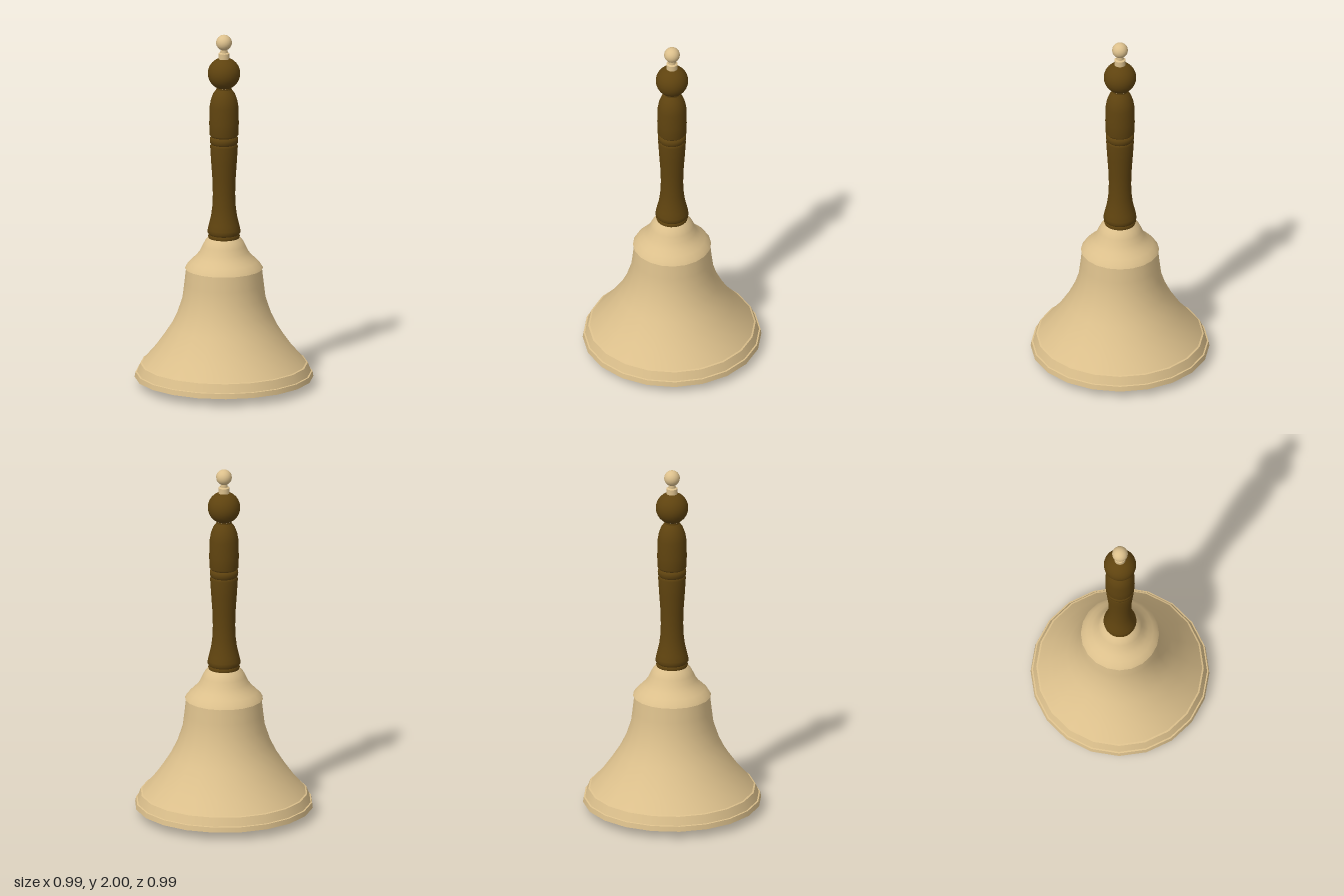
import * as THREE from 'three';
import { mergeGeometries } from 'three/addons/utils/BufferGeometryUtils.js';

const material = (name, color) => {
  const m = new THREE.MeshStandardMaterial({ color });
  m.name = name;
  return m;
};

// Turns several profile runs [radius, y] about the axis; edges between runs stay sharp.
function turned(name, mat, sides, runs) {
  const parts = runs.map((run) =>
    new THREE.LatheGeometry(run.map(([r, y]) => new THREE.Vector2(r, y)), sides));
  const mesh = new THREE.Mesh(mergeGeometries(parts), mat);
  mesh.name = name;
  return mesh;
}

// Arc profile of a ball from angle a to b (degrees from the bottom pole)
function arc(radius, y, a, b, steps = 12) {
  return Array.from({ length: steps + 1 }, (_, i) => {
    const t = THREE.MathUtils.degToRad(a + (b - a) * i / steps);
    return [Math.max(0, radius * Math.sin(t)), y - radius * Math.cos(t)];
  });
}

export function createModel() {
  const brass = material('brass', 0xdcc08c);
  const wood = material('dark wood', 0x5f430f);
  const iron = material('black iron', 0x121214);
  const bell = new THREE.Group();
  bell.name = 'handBell';

  // Flared outer wall with stepped rim
  bell.add(turned('bellWall', brass, 20, [
    [[0.45, 0.045], [0.495, 0.045]],
    [[0.495, 0.045], [0.49, 0.073]],
    [[0.49, 0.073], [0.482, 0.075]],
    [[0.482, 0.075], [0.464, 0.122]],
    [[0.464, 0.122], [0.455, 0.125]],
    [[0.455, 0.125], [0.39, 0.2], [0.34, 0.27], [0.295, 0.34], [0.26, 0.41],
      [0.23, 0.5], [0.22, 0.58], [0.21, 0.667]],
  ]));

  // Shoulder with a small lip over the wall
  bell.add(turned('bellShoulder', brass, 20, [
    [[0.2, 0.667], [0.217, 0.667]],
    [[0.217, 0.667], [0.206, 0.685], [0.185, 0.707], [0.158, 0.732], [0.135, 0.762],
      [0.12, 0.795], [0.106, 0.822], [0.088, 0.84]],
    [[0.088, 0.84], [0, 0.843]],
  ]));

  // Hollow inside, running downward so it faces the axis
  bell.add(turned('bellInside', brass, 20, [
    [[0, 0.67], [0.15, 0.66], [0.185, 0.63], [0.195, 0.56], [0.205, 0.49], [0.235, 0.41],
      [0.27, 0.33], [0.32, 0.25], [0.37, 0.18], [0.42, 0.11], [0.45, 0.045]],
  ]));

  // Clapper: stem, bulb and tapered tip
  bell.add(turned('clapper', iron, 20, [
    [[0, 0], [0.012, 0]],
    [[0.012, 0], [0.02, 0.04], [0.034, 0.095], [0.05, 0.12], [0.085, 0.145], [0.103, 0.175],
      [0.104, 0.205], [0.085, 0.24], [0.05, 0.265], [0.032, 0.285]],
    [[0.032, 0.285], [0.025, 0.67]],
  ]));

  // Turned wooden handle
  bell.add(turned('handle', wood, 32, [
    [[0, 0.84], [0.085, 0.84]],
    [[0.085, 0.84], [0.088, 0.85], [0.083, 0.86]],
    [[0.083, 0.86], [0.091, 0.872], [0.09, 0.89], [0.083, 0.92], [0.072, 0.965], [0.065, 1.02],
      [0.062, 1.09], [0.064, 1.17], [0.071, 1.27], [0.077, 1.365], [0.071, 1.377]],
    [[0.071, 1.377], [0.078, 1.386], [0.079, 1.4], [0.078, 1.412], [0.071, 1.42]],
    [[0.071, 1.42], [0.081, 1.432], [0.082, 1.5], [0.08, 1.59], [0.073, 1.63], [0.06, 1.665],
      [0.042, 1.69]],
    [[0.042, 1.69], [0.042, 1.70]],
    arc(0.09, 1.78, 27, 180),
  ]));

  // Finial: collar, neck and small ball
  bell.add(turned('finial', brass, 20, [
    [[0.031, 1.86], [0.031, 1.895]],
    [[0.031, 1.895], [0.021, 1.9]],
    [[0.021, 1.9], [0.02, 1.925]],
    arc(0.044, 1.956, 25, 180),
  ]));

  return bell;
}
